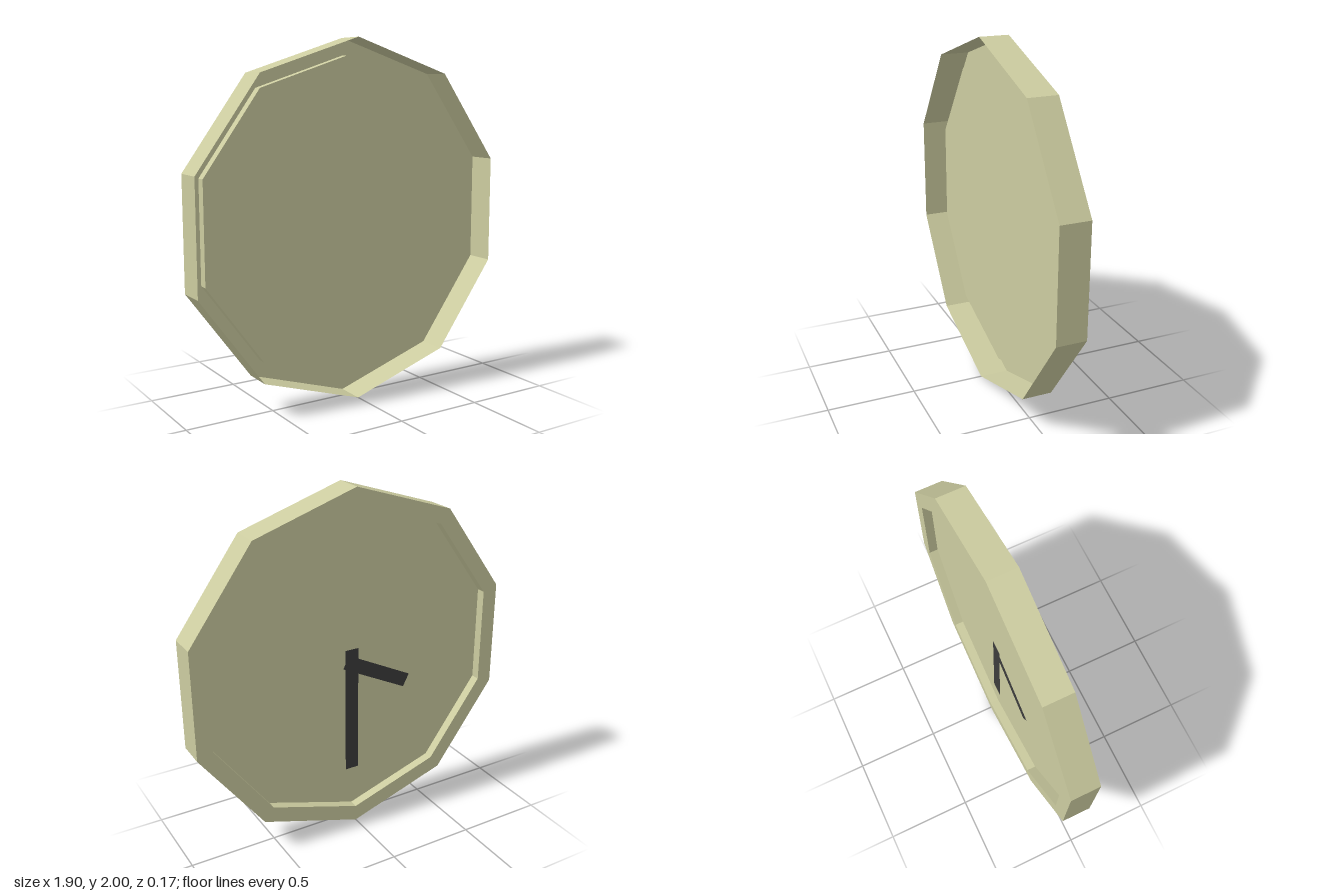
import * as THREE from 'three';

const SIDES = 10, R = 1, INNER = 0.905, BACK = -0.083, FRONT = 0.083, DISC = -0.03;

export function createModel() {
  const clock = new THREE.Group();
  clock.name = 'wallClock';

  const casing = new THREE.MeshStandardMaterial({ color: 0xcccca0, flatShading: true, side: THREE.DoubleSide });
  casing.name = 'paleOlive';
  const dark = new THREE.MeshStandardMaterial({ color: 0x3c3c3c, flatShading: true, side: THREE.DoubleSide });
  dark.name = 'charcoal';

  const add = (name, geometry, material, z) => {
    const mesh = new THREE.Mesh(geometry, material);
    mesh.name = name;
    mesh.position.set(0, 1, z);
    clock.add(mesh);
    return mesh;
  };

  // Open ten-sided wall around the z axis, with a corner at the top
  const wall = (radius, z0, z1) =>
    new THREE.CylinderGeometry(radius, radius, z1 - z0, SIDES, 1, true).rotateX(-Math.PI / 2);

  // Casing: outer rim, border, recess wall and dial; hollow on the +z side
  add('outerRim', wall(R, BACK, FRONT), casing, (BACK + FRONT) / 2);
  add('border', new THREE.RingGeometry(INNER, R, SIDES, 1, Math.PI / 2).rotateY(Math.PI), casing, BACK);
  add('recessWall', wall(INNER, BACK, DISC), casing, (BACK + DISC) / 2);
  add('dial', new THREE.CircleGeometry(INNER, SIDES, Math.PI / 2).rotateY(Math.PI), casing, DISC);

  // Hands: flat plates on the dial, each with a short tail past the pivot
  const hand = (name, tail, length, angle, z) => {
    const g = new THREE.PlaneGeometry(0.082, length + tail);
    g.translate(0, (length - tail) / 2, 0).rotateY(Math.PI).rotateZ(angle);
    add(name, g, dark, z);
  };
  hand('minuteHand', 0.09, 0.665, Math.PI, DISC - 0.006);
  hand('hourHand', 0.04, 0.41, THREE.MathUtils.degToRad(117), DISC - 0.004);

  return clock;
}
